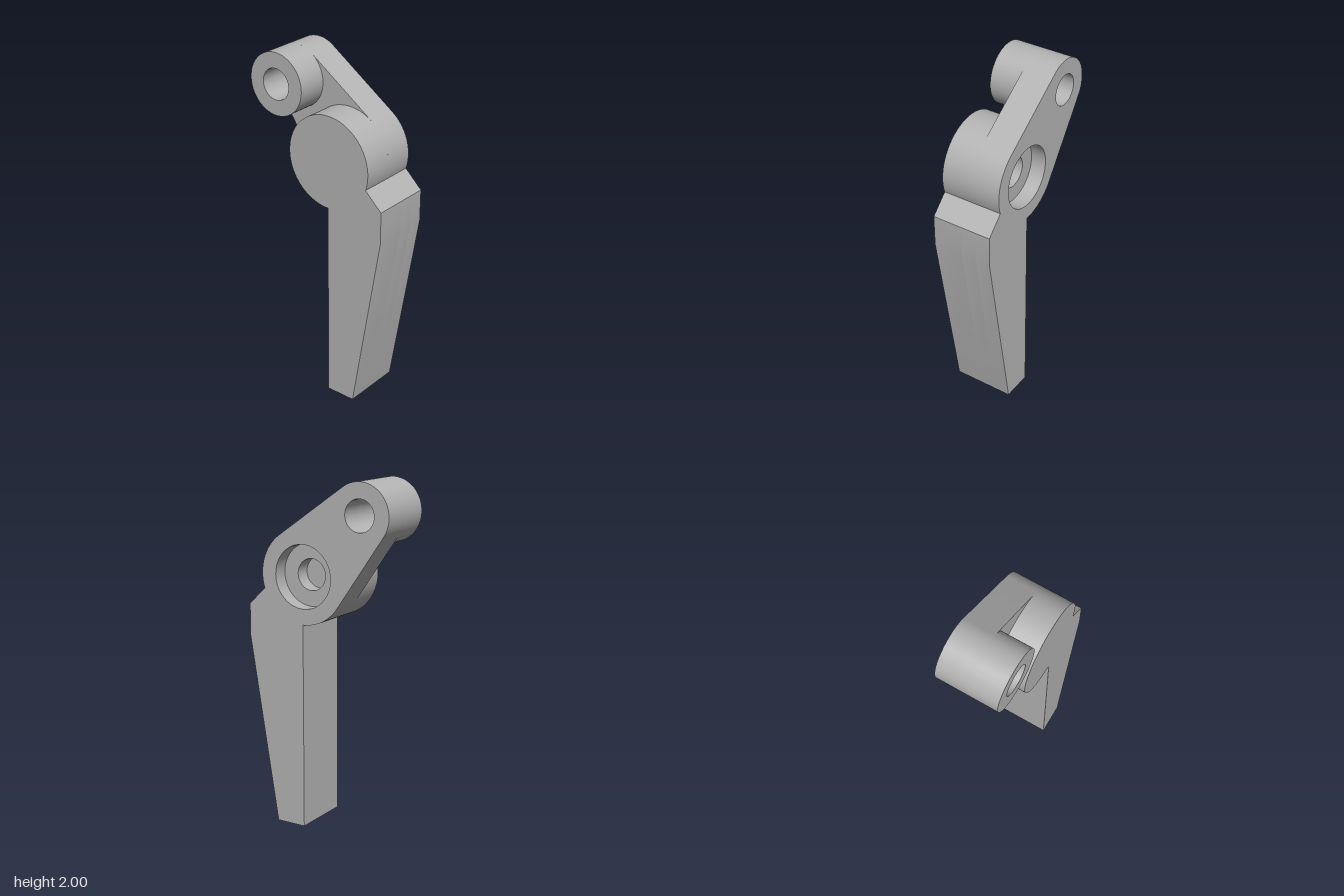
import * as THREE from 'three';
import { toCreasedNormals } from 'three/addons/utils/BufferGeometryUtils.js';

const HUB = { x: 0.09, y: 1.46, r: 0.27 };
const EYE = { x: -0.27, y: 1.82, r: 0.18 };
const BORE = 0.09;
const RECESS = 0.18;
const rad = THREE.MathUtils.degToRad;

// Arc around a circle, angles in degrees
function arc(path, c, from, to, r = c.r) {
  path.absarc(c.x, c.y, r, rad(from), rad(to), false);
  return path;
}

function hole(c, r) {
  return arc(new THREE.Path(), c, 0, 360, r);
}

// Lever and round hub, optionally with the arm tangent to hub and eye
function outline(withArm) {
  const s = new THREE.Shape();
  s.moveTo(0.09, 0);
  s.lineTo(0.27, 0);
  s.lineTo(0.45, 1.09);
  s.lineTo(0.45, 1.275);
  if (withArm) {
    arc(s, HUB, -18.4, 55.2);
    arc(s, EYE, 55.2, 214.8);
    arc(s, HUB, 214.8, 270);
  } else {
    arc(s, HUB, -18.4, 270);
  }
  s.closePath();
  return s;
}

export function createModel() {
  const group = new THREE.Group();
  const grey = new THREE.MeshStandardMaterial({ color: 0xb4b4b4 });
  grey.name = 'grey';

  function slab(name, shape, holes, z0, z1) {
    shape.holes.push(...holes);
    const geo = new THREE.ExtrudeGeometry(shape, { depth: z1 - z0, bevelEnabled: false, curveSegments: 48 });
    geo.translate(0, 0, z0);
    const mesh = new THREE.Mesh(toCreasedNormals(geo, rad(25)), grey);
    mesh.name = name;
    group.add(mesh);
  }

  // Rear half: arm plate with the wide recess, then the narrower blind bore
  slab('rearPlate', outline(true), [hole(EYE, BORE), hole(HUB, RECESS)], -0.18, -0.09);
  slab('middlePlate', outline(true), [hole(EYE, BORE), hole(HUB, BORE)], -0.09, 0);

  // Front half: closed hub with lever, and the separate eye boss
  slab('hubAndLever', outline(false), [], 0, 0.18);
  slab('eyeBoss', arc(new THREE.Shape(), EYE, 0, 360), [hole(EYE, BORE)], 0, 0.18);

  return group;
}
